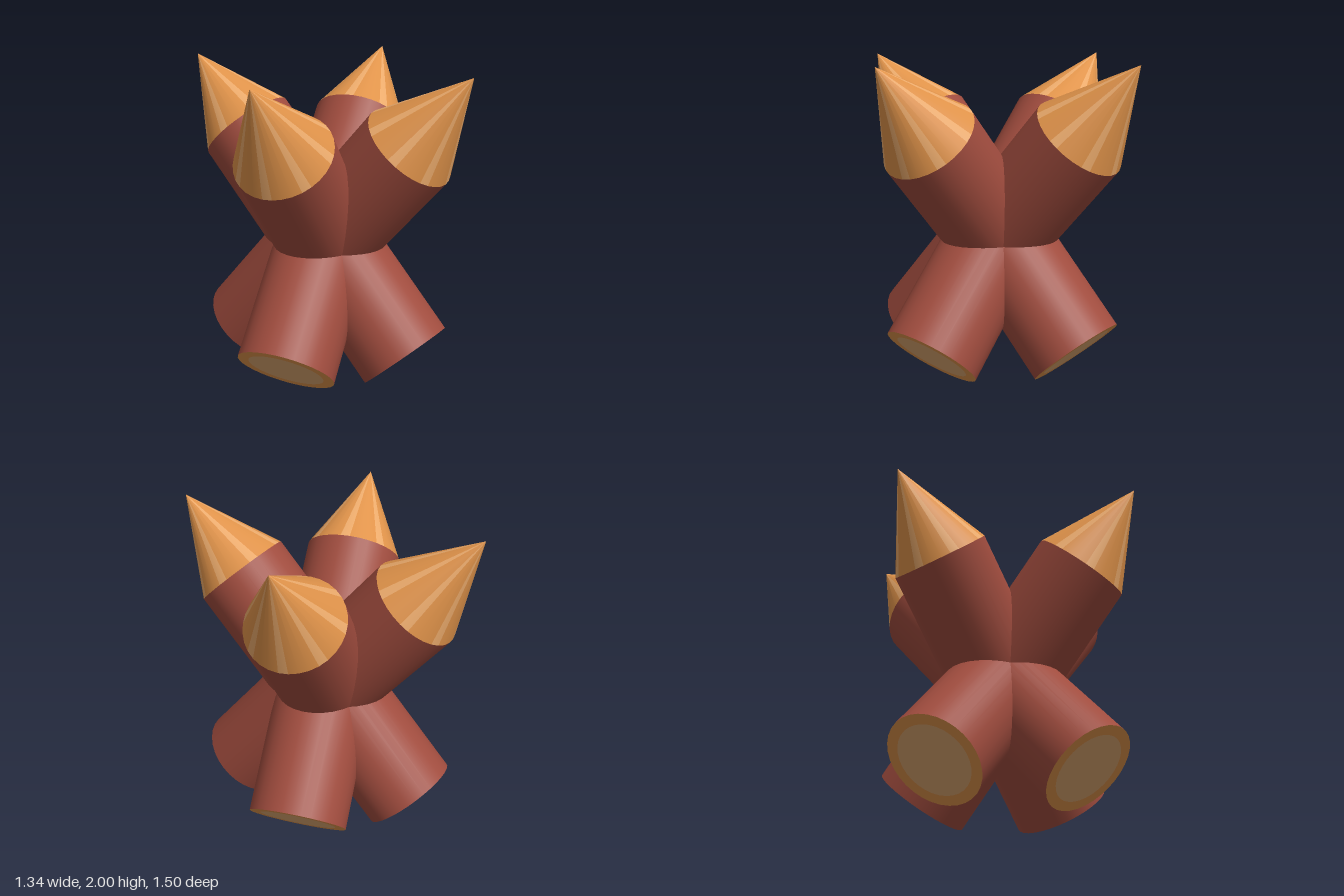
import * as THREE from 'three';
import { mergeGeometries } from 'three/addons/utils/BufferGeometryUtils.js';

const RADIUS = 0.308, CORE = 0.24, HALF = 0.9, SIDES = 32, STREAKS = 8;
const CENTRE = new THREE.Vector3(0, 0.88, 0);
const TIP = new THREE.Vector3(0.65, 2, 0.75);
const UP = new THREE.Vector3(0, 1, 0);

const mat = (color) => new THREE.MeshStandardMaterial({ color });

// Wedges of a pointed tip, repeated around the axis
function tipWedges(height, firstFacet, facets) {
  const step = (Math.PI * 2) / SIDES;
  const parts = [];
  for (let i = 0; i < STREAKS; i++) {
    const start = (i * (SIDES / STREAKS) + firstFacet) * step;
    parts.push(new THREE.ConeGeometry(RADIUS, height, facets, 1, true, start, facets * step));
  }
  return mergeGeometries(parts).translate(0, HALF + height / 2, 0);
}

export function createModel() {
  const model = new THREE.Group();
  model.name = 'crossedStakes';

  const tipHeight = TIP.distanceTo(CENTRE) - HALF;
  const bark = mat(0xa04c3e), wood = mat(0xe0934a), paleWood = mat(0xecab6c), core = mat(0xdba56f);

  // Each part of one upright stake, centred on the crossing point
  const parts = [
    ['bark', new THREE.CylinderGeometry(RADIUS, RADIUS, HALF * 2, SIDES, 1, true), bark],
    ['sharpenedTip', tipWedges(tipHeight, 1, SIDES / STREAKS - 1), wood],
    ['tipStreaks', tipWedges(tipHeight, 0, 1), paleWood],
    ['cutEndRing', new THREE.RingGeometry(CORE, RADIUS, SIDES).rotateX(Math.PI / 2).translate(0, -HALF, 0), wood],
    ['cutEndCore', new THREE.CircleGeometry(CORE, SIDES).rotateX(Math.PI / 2).translate(0, -HALF, 0), core],
  ];

  // Four stakes cross along the diagonals, points upward
  for (const sx of [1, -1]) {
    for (const sz of [1, -1]) {
      const stake = new THREE.Group();
      stake.name = (sz > 0 ? 'front' : 'back') + (sx > 0 ? 'Left' : 'Right') + 'Stake';
      for (const [name, geometry, material] of parts) {
        const mesh = new THREE.Mesh(geometry, material);
        mesh.name = name;
        stake.add(mesh);
      }
      const direction = new THREE.Vector3(sx * TIP.x, TIP.y - CENTRE.y, sz * TIP.z).normalize();
      stake.quaternion.setFromUnitVectors(UP, direction);
      stake.position.copy(CENTRE);
      model.add(stake);
    }
  }
  return model;
}
